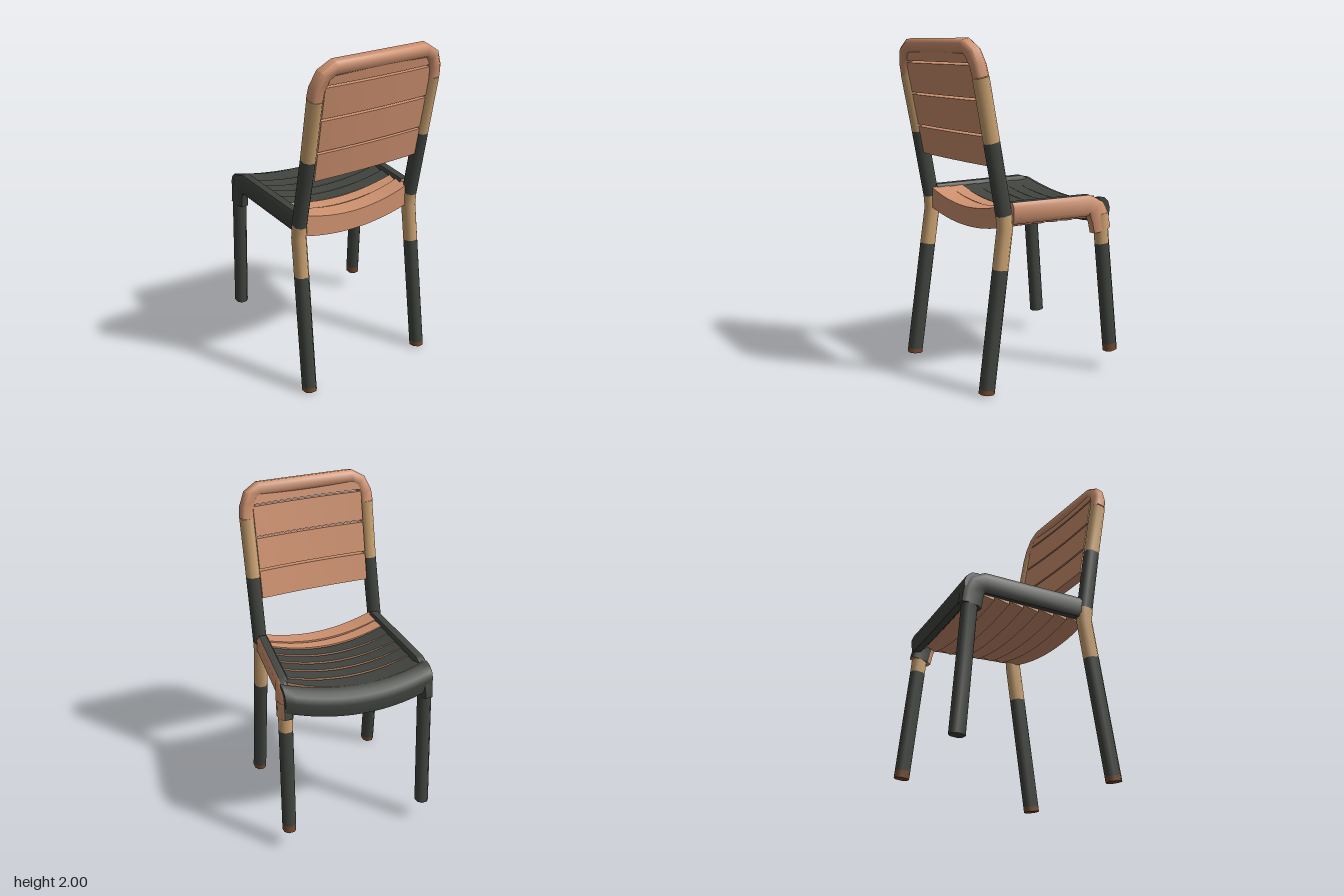
import * as THREE from 'three';
import { toCreasedNormals } from 'three/addons/utils/BufferGeometryUtils.js';

const V = (x, y, z) => new THREE.Vector3(x, y, z);
const lerp = THREE.MathUtils.lerp;
const DARK = 0, ORANGE = 1, TAN = 2, BROWN = 3;

function makeMaterials() {
  const list = { charcoal: 0x41443f, terracotta: 0xcf9270, tanWood: 0xcba271, brownFoot: 0x70492f };
  return Object.entries(list).map(([name, color]) => {
    const m = new THREE.MeshStandardMaterial({ color });
    m.name = name;
    return m;
  });
}

// Closed skin over cross-section rings; colourOf(span, side) picks the material
function skin(name, rings, mats, colourOf) {
  const buckets = mats.map(() => []);
  const n = rings[0].length, last = rings.length - 1;
  const tri = (c, ...pts) => pts.forEach((p) => buckets[c].push(p.x, p.y, p.z));
  for (let i = 0; i < last; i++) {
    for (let j = 0; j < n; j++) {
      const k = (j + 1) % n, c = colourOf(i, j);
      tri(c, rings[i][j], rings[i][k], rings[i + 1][k]);
      tri(c, rings[i][j], rings[i + 1][k], rings[i + 1][j]);
    }
  }
  for (let j = 1; j < n - 1; j++) {
    tri(colourOf(0, 1), rings[0][0], rings[0][j + 1], rings[0][j]);
    tri(colourOf(last - 1, 1), rings[last][0], rings[last][j], rings[last][j + 1]);
  }
  const geo = new THREE.BufferGeometry();
  geo.setAttribute('position', new THREE.Float32BufferAttribute(buckets.flat(), 3));
  let start = 0;
  buckets.forEach((b, c) => {
    if (b.length) geo.addGroup(start, b.length / 3, c);
    start += b.length / 3;
  });
  const mesh = new THREE.Mesh(toCreasedNormals(geo, 0.9), mats);
  mesh.name = name;
  return mesh;
}

// Eight-sided bar along a path; w is its size along the side axis, d across it
function bar(path, w, d, axis, square) {
  return path.map((p, i) => {
    const t = path[Math.min(i + 1, path.length - 1)].clone().sub(path[Math.max(i - 1, 0)]).normalize();
    const a = axis.clone().addScaledVector(t, -axis.dot(t)).normalize();
    const b = t.clone().cross(a);
    return Array.from({ length: 8 }, (_, j) => {
      const ang = (j + 0.5) * Math.PI / 4;
      const f = (v) => Math.sign(v) * Math.pow(Math.abs(v), square) / Math.pow(Math.cos(Math.PI / 8), square);
      return p.clone().addScaledVector(a, f(Math.cos(ang)) * w / 2).addScaledVector(b, f(Math.sin(ang)) * d / 2);
    });
  });
}

export function createModel() {
  const chair = new THREE.Group();
  chair.name = 'chair';
  const mats = makeMaterials();
  const X = V(1, 0, 0);
  const add = (name, rings, colourOf) => chair.add(skin(name, rings, mats, colourOf));
  const backZ = (y) => 0.31 + (y - 1.02) * 0.193;

  // Rear legs running up into the backrest posts
  const postColours = [BROWN, DARK, TAN, TAN, DARK, TAN];
  for (const [name, foot, knee, top] of [['rightRearPost', -0.47, -0.442, -0.432], ['leftRearPost', 0.355, 0.353, 0.352]]) {
    const path = [
      V(foot, 0.006, 0.436), V(foot, 0.035, 0.432), V(lerp(foot, knee, 0.75), 0.72, 0.338),
      V(knee, 0.95, 0.306), V(knee, 1.03, 0.312), V(top, 1.44, backZ(1.44)), V(top, 1.79, backZ(1.79)),
    ];
    add(name, bar(path, 0.076, 0.088, X, 0.85), (i) => postColours[i]);
  }

  // Rounded top of the backrest frame
  const arch = [[-0.432, 1.79], [-0.427, 1.85], [-0.395, 1.92], [-0.34, 1.953], [0.265, 1.953], [0.315, 1.92], [0.345, 1.85], [0.352, 1.79]];
  add('backrestTop', bar(arch.map(([x, y]) => V(x, y, backZ(y))), 0.08, 0.08, V(0, -0.19, 1).normalize(), 0.7), () => ORANGE);

  // Backrest slats, slightly hollowed
  for (const [y0, y1] of [[1.31, 1.475], [1.488, 1.67], [1.683, 1.858], [1.87, 1.94]]) {
    const rings = Array.from({ length: 9 }, (_, k) => {
      const u = k / 8, x = lerp(-0.39, 0.315, u), bow = 0.012 * 4 * u * (1 - u) - 0.006;
      return [[y1, -0.028], [y1, 0.028], [y0, 0.028], [y0, -0.028]].map(([y, h]) => V(x, y - h * 0.19, backZ(y) + bow + h));
    });
    add('backrestSlat', rings, () => ORANGE);
  }

  // Seat rails bending down into the front legs
  add('rightSideRail', bar([
    V(-0.428, 1.035, 0.29), V(-0.402, 1.035, -0.35), V(-0.4, 1.012, -0.4), V(-0.4, 0.95, -0.425), V(-0.4, 0.88, -0.435),
  ], 0.075, 0.125, X, 0.6), () => DARK);
  add('leftSideRail', bar([
    V(0.352, 1.035, 0.265), V(0.42, 1.035, -0.24), V(0.43, 1.012, -0.285), V(0.437, 0.95, -0.31), V(0.44, 0.88, -0.325),
  ], 0.075, 0.125, X, 0.6), (i, j) => (j >= 3 && j <= 5 ? DARK : ORANGE));
  add('rightFrontLeg', bar([
    V(-0.4, 0.97, -0.432), V(-0.4, 0.88, -0.438), V(-0.392, 0.14, -0.492),
  ], 0.074, 0.084, X, 0.85), () => DARK);
  add('leftFrontLeg', bar([
    V(0.438, 0.98, -0.322), V(0.443, 0.8, -0.338), V(0.463, 0.17, -0.397), V(0.465, 0.125, -0.401),
  ], 0.074, 0.084, X, 0.85), (i) => [TAN, DARK, BROWN][i]);

  // Dished seat: each slat follows a skewed, sagging strip
  const leftZ = [-0.4, -0.28, -0.183, -0.09, 0.01, 0.115, 0.205, 0.325];
  const rightZ = [-0.3, -0.235, -0.135, -0.04, 0.05, 0.14, 0.21, 0.315];
  const arcOf = (u) => 4 * u * (1 - u);
  const topY = (u) => 1.085 - 0.062 * arcOf(u);
  const edgeZ = (i, u) => lerp(leftZ[i], rightZ[i], u) - arcOf(u) * (i === 0 ? 0.04 : i < 6 ? 0.012 : 0);
  const rightX = (z) => lerp(0.425, 0.325, (z + 0.37) / 0.69);
  const STEPS = 14;
  for (let s = 0; s < 7; s++) {
    const rings = Array.from({ length: STEPS + 1 }, (_, k) => {
      const u = k / STEPS, y = topY(u);
      const z0 = edgeZ(s, u), z1 = edgeZ(s + 1, u), gap = s < 6 ? 0.012 * arcOf(u) : 0;
      const x = lerp(-0.405, rightX((z0 + z1) / 2), u);
      const low = y - 0.125 + 0.012 * arcOf(u);
      return [V(x, y, z0), V(x, y - 0.004, z1 - gap), V(x, low - 0.006, z1), V(x, low + 0.014, z0)];
    });
    add('seatSlat', rings, (i, j) => (j === 0 && s < 5 ? DARK : ORANGE));
  }

  // Waterfall front edge of the seat
  const nose = [[-0.085, -0.075], [-0.07, -0.035], [-0.04, -0.01], [0.002, 0], [0.002, -0.11], [-0.03, -0.145], [-0.075, -0.15]];
  const noseRings = Array.from({ length: STEPS + 1 }, (_, k) => {
    const u = k / STEPS;
    return nose.map(([dz, dy]) => V(lerp(-0.425, 0.455, u), topY(u) + dy, edgeZ(0, u) + dz));
  });
  add('seatFrontEdge', noseRings, () => DARK);

  return chair;
}
